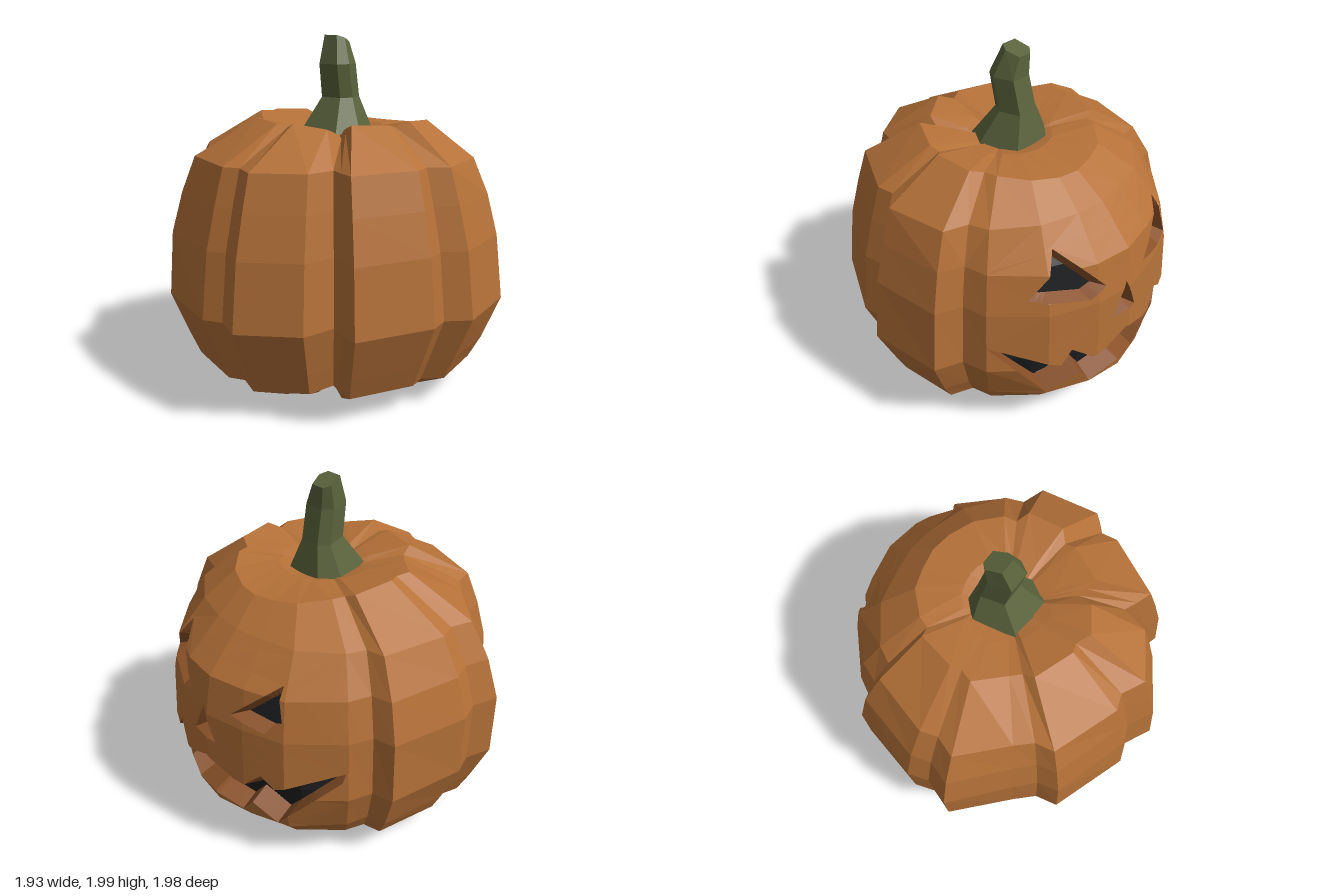
import * as THREE from 'three';

function paint(name, color) {
  const m = new THREE.MeshStandardMaterial({ color });
  m.name = name;
  return m;
}
const orange = paint('pumpkinOrange', 0xb57138);
const flesh = paint('cutFleshBrown', 0x8a5128);
const green = paint('stemGreen', 0x5a633c);
const dark = paint('hollowDark', 0x1f2022);

// Widest cross-section as [x, z]; the first PANEL columns carry the face
const OUTLINE = [
  [0.47, -0.77], [0.6, -0.72], [0.84, -0.48], [0.92, -0.24], [0.97, 0], [0.94, 0.23],
  [0.83, 0.5], [0.6, 0.74], [0.46, 0.78],
  [0.4, 0.93], [-0.02, 0.99], [-0.13, 0.88], [-0.25, 0.9], [-0.66, 0.7], [-0.62, 0.59],
  [-0.58, 0.5], [-0.77, 0.46], [-0.97, 0.16], [-0.89, 0], [-0.93, -0.11], [-0.77, -0.57],
  [-0.64, -0.6], [-0.54, -0.7], [-0.27, -1], [-0.12, -0.95], [0, -0.99], [0.44, -0.89],
];
const PANEL = 9;
// Rows: height, scale, the same two at the middle of the face,
// extra scale at the back, sinking of the grooves, shift towards the stem
const ROWS = [
  [0.17, 0, 0.17, 0, 0, 0, 0], [0.01, 0.51, 0.02, 0.53, 0, -0.3, 0],
  [0.16, 0.83, 0.16, 0.82, 0, 0, 0], [0.29, 0.89, 0.29, 0.945, 0, 0, 0],
  [0.54, 1, 0.54, 0.995, -0.01, 0, 0],
  [0.91, 0.955, 0.91, 0.975, 0.04, 0, 0], [1.14, 0.893, 1.14, 0.93, 0.03, 0, 0],
  [1.34, 0.83, 1.34, 0.73, -0.02, 0, 0], [1.55, 0.5, 1.47, 0.53, 0, 0.4, 0.04],
  [1.5, 0.26, 1.49, 0.26, 0, 0.3, 0.04], [1.45, 0.1, 1.45, 0.1, 0, 0, 0.04],
];
const FIRST = 2, LAST = 7; // rows spanned by the face panel
const STEPS = 12;

const lerp = THREE.MathUtils.lerp;

function bodyPoint(col, row) {
  const [x, z] = OUTLINE[col % OUTLINE.length];
  const [y, s, faceY, faceS, back, sink, shift] = ROWS[row];
  const r = Math.hypot(x, z);
  const f = Math.max(0, x / r) ** 2, b = Math.max(0, -z / r) ** 2 * (1 - f);
  const k = lerp(s, faceS, f) + back * b;
  const drop = sink * Math.max(0, 0.97 - r) * (1 - f);
  return [x * k + shift, lerp(y, faceY, f) - drop, z * k + shift * 0.7];
}

// x of the body surface in the face area, at sideways s (= -z) and height y
function surfaceX(s, y) {
  let r = FIRST;
  while (r < LAST - 1 && y > ROWS[r + 1][0]) r++;
  const t = (y - ROWS[r][0]) / (ROWS[r + 1][0] - ROWS[r][0]);
  const at = (c) => {
    const a = bodyPoint(c, r), b = bodyPoint(c, r + 1);
    return [lerp(a[0], b[0], t), lerp(a[2], b[2], t)];
  };
  let c = 0;
  while (c < PANEL - 2 && -s > at(c + 1)[1]) c++;
  const p = at(c), q = at(c + 1);
  return lerp(p[0], q[0], (-s - p[1]) / (q[1] - p[1]));
}

const onFace = ([s, y], depth) => [surfaceX(s, y) - depth, y, -s];
const flat = (col, row) => {
  const p = bodyPoint(col, row);
  return [-p[2], p[1]];
};
const side = (a, b, p) => (b[0] - a[0]) * (p[1] - a[1]) - (b[1] - a[1]) * (p[0] - a[0]);
const between = (p, q, t) => [lerp(p[0], q[0], t), lerp(p[1], q[1], t)];

// Unshared corners give flat facets
function addMesh(group, name, positions, material) {
  const g = new THREE.BufferGeometry();
  g.setAttribute('position', new THREE.Float32BufferAttribute(positions, 3));
  g.computeVertexNormals();
  const m = new THREE.Mesh(g, material);
  m.name = name;
  group.add(m);
}

const quad = (out, a, b, c, d) => out.push(...a, ...b, ...c, ...a, ...c, ...d);

// Part of a polygon inside a convex, counter-clockwise cell
function clip(poly, cell) {
  return cell.reduce((shape, a, i) => {
    const b = cell[(i + 1) % cell.length];
    return shape.flatMap((p, j) => {
      const q = shape[(j + 1) % shape.length];
      const dp = side(a, b, p), dq = side(a, b, q);
      const kept = dp >= 0 ? [p] : [];
      if (dp >= 0 !== dq >= 0) kept.push(between(p, q, dp / (dp - dq)));
      return kept;
    });
  }, poly);
}

// Flat outline with holes, cut along the body's creases and laid onto it
function drape(contour, holes, depth) {
  const out = [];
  const vectors = (list) => list.map(([a, b]) => new THREE.Vector2(a, b));
  const all = [contour, ...holes].flat();
  for (const face of THREE.ShapeUtils.triangulateShape(vectors(contour), holes.map(vectors))) {
    const tri = face.map((i) => all[i]);
    if (side(...tri) < 0) tri.reverse();
    for (let c = 0; c < PANEL - 1; c++) {
      for (let r = FIRST; r < LAST; r++) {
        const piece = clip(tri, [flat(c + 1, r), flat(c, r), flat(c, r + 1), flat(c + 1, r + 1)]);
        for (let i = 1; i + 1 < piece.length; i++) {
          if (side(piece[0], piece[i], piece[i + 1]) < 1e-7) continue;
          for (const p of [piece[0], piece[i], piece[i + 1]]) out.push(...onFace(p, depth));
        }
      }
    }
  }
  return out;
}

// Moves every edge of a counter-clockwise outline inward by d
function inset(points, d) {
  const n = points.length;
  const normal = (a, b) => {
    const l = Math.hypot(b[0] - a[0], b[1] - a[1]);
    return [-(b[1] - a[1]) / l, (b[0] - a[0]) / l];
  };
  return points.map((p, i) => {
    const u = normal(points[(i + n - 1) % n], p), w = normal(p, points[(i + 1) % n]);
    const k = d / Math.max(0.2, 1 + u[0] * w[0] + u[1] * w[1]);
    return [p[0] + (u[0] + w[0]) * k, p[1] + (u[1] + w[1]) * k];
  });
}

// Face openings as [s, y], counter-clockwise
const CUTS = [
  { name: 'leftSideEye', rim: 0.03, depth: 0.07, points: [[-0.55, 1], [-0.27, 0.94], [-0.17, 0.99], [-0.38, 1.24]] },
  { name: 'rightSideEye', rim: 0.03, depth: 0.07, points: [[0.15, 0.97], [0.36, 0.93], [0.46, 0.95], [0.4, 1.2]] },
  { name: 'nose', rim: 0.03, depth: 0.07, points: [[-0.13, 0.75], [0.05, 0.75], [-0.03, 0.95]] },
  {
    name: 'mouth', rim: 0.04, depth: 0.12, points: [
      [-0.73, 0.7], [-0.47, 0.32], [-0.29, 0.41], [-0.22, 0.3], [-0.02, 0.34], [0.17, 0.3], [0.26, 0.41],
      [0.38, 0.29], [0.69, 0.66], [0.7, 0.72], [0.42, 0.59], [0.34, 0.65], [0.24, 0.55], [0.17, 0.555],
      [-0.02, 0.63], [-0.17, 0.555], [-0.25, 0.54], [-0.37, 0.64], [-0.43, 0.55],
    ],
  },
];

export function createModel() {
  const model = new THREE.Group();

  // Ribbed body, left open where the face panel goes
  const body = [];
  for (let c = 0; c < OUTLINE.length; c++) {
    for (let r = 0; r < ROWS.length - 1; r++) {
      if (c < PANEL - 1 && r >= FIRST && r < LAST) continue;
      quad(body, bodyPoint(c, r), bodyPoint(c, r + 1), bodyPoint(c + 1, r + 1), bodyPoint(c + 1, r));
    }
  }
  addMesh(model, 'pumpkinBody', body, orange);

  // Face panel with the openings cut out
  const border = [];
  for (let c = PANEL - 1; c >= 0; c--) border.push(flat(c, FIRST));
  for (let r = FIRST + 1; r < LAST; r++) border.push(flat(0, r));
  for (let c = 0; c < PANEL; c++) border.push(flat(c, LAST));
  for (let r = LAST - 1; r > FIRST; r--) border.push(flat(PANEL - 1, r));
  addMesh(model, 'carvedFace', drape(border, CUTS.map((c) => c.points), 0), orange);

  // Sloping cut walls and the dark hollow behind each opening
  for (const { name, rim, depth, points } of CUTS) {
    const inner = inset(points, rim);
    const wall = [];
    points.forEach((p, i) => {
      const j = (i + 1) % points.length;
      const along = (list, k, d) => onFace(between(list[i], list[j], k / STEPS), d);
      for (let k = 0; k < STEPS; k++) {
        quad(wall, along(points, k, 0), along(points, k + 1, 0), along(inner, k + 1, depth), along(inner, k, depth));
      }
    });
    addMesh(model, name + 'Rim', wall, flesh);
    addMesh(model, name + 'Hollow', drape(inner, [], depth), dark);
  }

  // Crooked six-sided stem: height, centre x, centre z, scale, tilt
  const hex = [[0.17, 0.13], [-0.05, 0.21], [-0.18, 0.14], [-0.18, -0.12], [0.07, -0.19], [0.17, -0.1]];
  const rings = [
    [1.46, 0.05, 0, 1, 0], [1.65, 0.085, 0, 0.52, 0], [1.84, 0.045, 0.01, 0.5, 0],
    [1.98, 0.07, -0.015, 0.34, 0.33], [1.98, 0.07, -0.015, 0, 0],
  ];
  const stemPoint = (i, r) => {
    const [y, cx, cz, k, tilt] = rings[r];
    const [x, z] = hex[i % 6];
    return [cx + x * k, y - x * k * tilt, cz + z * k];
  };
  const stem = [];
  for (let i = 0; i < 6; i++) {
    for (let r = 0; r < rings.length - 1; r++) {
      quad(stem, stemPoint(i, r), stemPoint(i, r + 1), stemPoint(i + 1, r + 1), stemPoint(i + 1, r));
    }
  }
  addMesh(model, 'stem', stem, green);

  return model;
}
